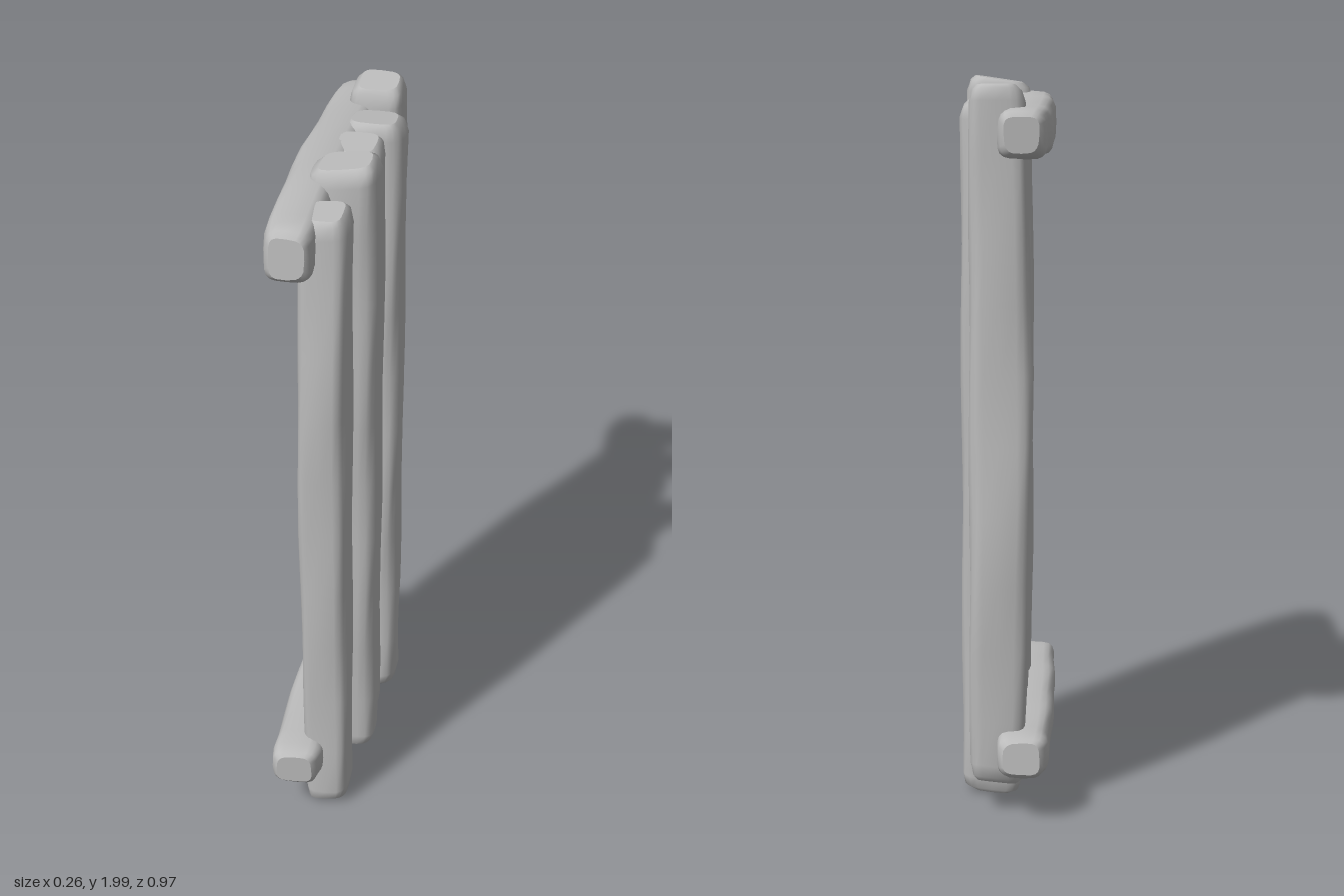
import * as THREE from 'three';

const SEG = 20, STEPS = 10;

// Rounded-square log running from..to. x = [near, far] faces; knots = [centre, width] pairs
// across the other axis; tilt = end slants [startX, startQ, endX, endQ]; belly swells the -x side.
// place(t, x, q) maps the log into space.
function logGeometry({ from, to, x, knots, tilt, belly }, place, seed) {
  const spline = new THREE.SplineCurve(knots.map(([c, w]) => new THREE.Vector2(c, w)));
  const softEnd = [[0, 0.72], [0.012, 0.9], [0.045, 1]];
  const rings = softEnd.map(([d, k]) => ({ t: from + d, k, slant: tilt.slice(0, 2) }));
  for (let i = 1; i < STEPS; i++) {
    rings.push({ t: THREE.MathUtils.lerp(from, to, i / STEPS), k: 1, slant: [0, 0] });
  }
  softEnd.reverse().forEach(([d, k]) => rings.push({ t: to - d, k, slant: tilt.slice(2) }));

  const power = (v) => Math.sign(v) * Math.abs(v) ** 0.55;
  const pos = [], index = [];
  const point = (r, i) => {
    const { t, k, slant } = rings[r];
    const f = (t - from) / (to - from);
    const mid = spline.getPoint(f);
    const x0 = x[0] - belly * Math.sin(Math.PI * f);
    const a = (i / SEG) * Math.PI * 2;
    const size = k * (1 + 0.03 * Math.sin(3 * a + r * 1.7 + seed * 2.3));
    const dx = power(Math.cos(a)) * (x[1] - x0) / 2 * size;
    const dq = power(Math.sin(a)) * mid.y / 2 * size;
    return place(t + slant[0] * dx + slant[1] * dq, (x0 + x[1]) / 2 + dx, mid.x + dq);
  };

  // side surface
  const last = rings.length - 1;
  for (let r = 0; r <= last; r++) for (let i = 0; i < SEG; i++) pos.push(...point(r, i));
  for (let r = 0; r < last; r++) {
    for (let i = 0; i < SEG; i++) {
      const a = r * SEG + i, c = r * SEG + (i + 1) % SEG;
      index.push(a, a + SEG, c, c, a + SEG, c + SEG);
    }
  }
  // flat end caps with their own vertices
  for (const r of [0, last]) {
    const base = pos.length / 3;
    for (let i = 0; i < SEG; i++) pos.push(...point(r, i));
    for (let i = 1; i < SEG - 1; i++) {
      if (r) index.push(base, base + i + 1, base + i);
      else index.push(base, base + i, base + i + 1);
    }
  }
  const g = new THREE.BufferGeometry();
  g.setAttribute('position', new THREE.Float32BufferAttribute(pos, 3));
  g.setIndex(index);
  g.computeVertexNormals();
  return g;
}

export function createModel() {
  const group = new THREE.Group();
  group.name = 'plankPanel';
  const wood = new THREE.MeshStandardMaterial({ color: 0xbbbbbb });
  wood.name = 'paleGrey';
  const add = (name, geometry) => {
    const mesh = new THREE.Mesh(geometry, wood);
    mesh.name = name;
    group.add(mesh);
  };

  // upright planks, from the front (+z) to the back
  const planks = [
    { from: 0.02, to: 1.935, x: [-0.04, 0.085], belly: 0.01, tilt: [0.1, -0.12, 0.05, -0.06],
      knots: [[0.345, 0.13], [0.35, 0.145], [0.358, 0.168], [0.35, 0.14]] },
    { from: 0.07, to: 1.985, x: [-0.06, 0.125], belly: 0.005, tilt: [0, 0.15, 0.15, 0],
      knots: [[0.16, 0.14], [0.158, 0.148], [0.16, 0.15], [0.165, 0.15]] },
    { from: 0.015, to: 1.94, x: [-0.05, 0.092], belly: 0.015, tilt: [0, -0.12, 0, -0.08],
      knots: [[-0.035, 0.13], [-0.033, 0.13], [-0.035, 0.155], [-0.037, 0.145]] },
    { from: 0.015, to: 1.94, x: [-0.045, 0.122], belly: 0.01, tilt: [0.1, 0.12, 0, 0.1],
      knots: [[-0.188, 0.135], [-0.183, 0.145], [-0.193, 0.15], [-0.193, 0.145]] },
    { from: 0.085, to: 1.98, x: [-0.055, 0.092], belly: 0.025, tilt: [0.1, -0.25, 0, -0.15],
      knots: [[-0.353, 0.135], [-0.361, 0.158], [-0.342, 0.14], [-0.342, 0.135]] },
  ];
  planks.forEach((plank, i) =>
    add(`plank${i + 1}`, logGeometry(plank, (t, x, q) => [x, t, q], i)));

  // cross rails on the -x side, running front to back
  const rails = [
    { name: 'topRail', from: -0.48, to: 0.48, x: [-0.115, 0.012], belly: 0.014, tilt: [0, 0.1, 0.1, 0],
      knots: [[1.86, 0.15], [1.867, 0.165], [1.862, 0.152], [1.86, 0.13]] },
    { name: 'bottomRail', from: -0.48, to: 0.48, x: [-0.122, 0.017], belly: 0.01, tilt: [0.1, 0, 0, -0.1],
      knots: [[0.192, 0.125], [0.196, 0.132], [0.195, 0.13], [0.19, 0.12]] },
  ];
  rails.forEach((rail, i) =>
    add(rail.name, logGeometry(rail, (t, x, q) => [x, q, -t], i + 6)));

  return group;
}
